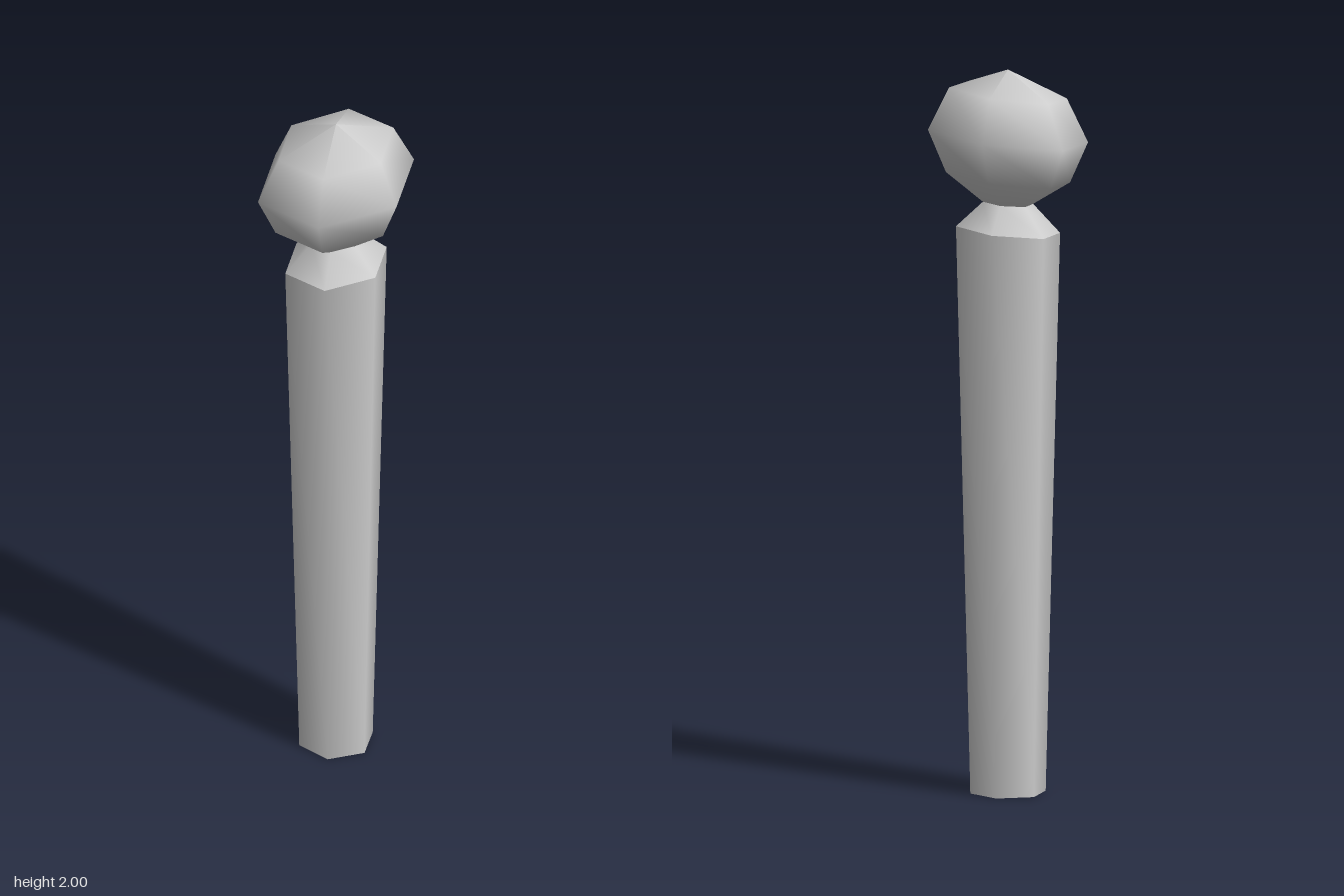
import * as THREE from 'three';

const SIDES = 6;

// Six-sided smooth turned part; each profile row is [radius, height, tilt],
// where tilt makes the ring climb towards +x.
function turned(name, rows, material) {
  const profile = rows.map(([r, y]) => new THREE.Vector2(r, y));
  const geometry = new THREE.LatheGeometry(profile, SIDES, Math.PI / 2);
  const pos = geometry.attributes.position;
  for (let i = 0; i < pos.count; i++) {
    const tilt = rows[i % rows.length][2];
    pos.setY(i, pos.getY(i) + tilt * pos.getX(i));
  }
  const mesh = new THREE.Mesh(geometry, material);
  mesh.name = name;
  return mesh;
}

export function createModel() {
  const group = new THREE.Group();
  group.name = 'knobbedPost';
  const material = new THREE.MeshStandardMaterial({ color: 0xcccccc });

  // Tapered shaft, wider at the top
  group.add(turned('shaft', [[0.105, 0, 0], [0.145, 1.557, 0.1]], material));

  // Sloping shoulder that narrows to the neck
  group.add(turned('shoulder', [[0.145, 1.557, 0.1], [0.07, 1.631, 0.08]], material));

  // Slightly tilted faceted knob
  group.add(turned('knob', [
    [0.07, 1.631, 0.08],
    [0.173, 1.702, 0.12],
    [0.223, 1.816, 0.115],
    [0.164, 1.935, 0.13],
    [0, 2, 0],
  ], material));

  // Flat foot closing the shaft
  const foot = new THREE.Mesh(new THREE.CircleGeometry(0.105, SIDES), material);
  foot.rotation.x = Math.PI / 2;
  foot.name = 'foot';
  group.add(foot);

  return group;
}
